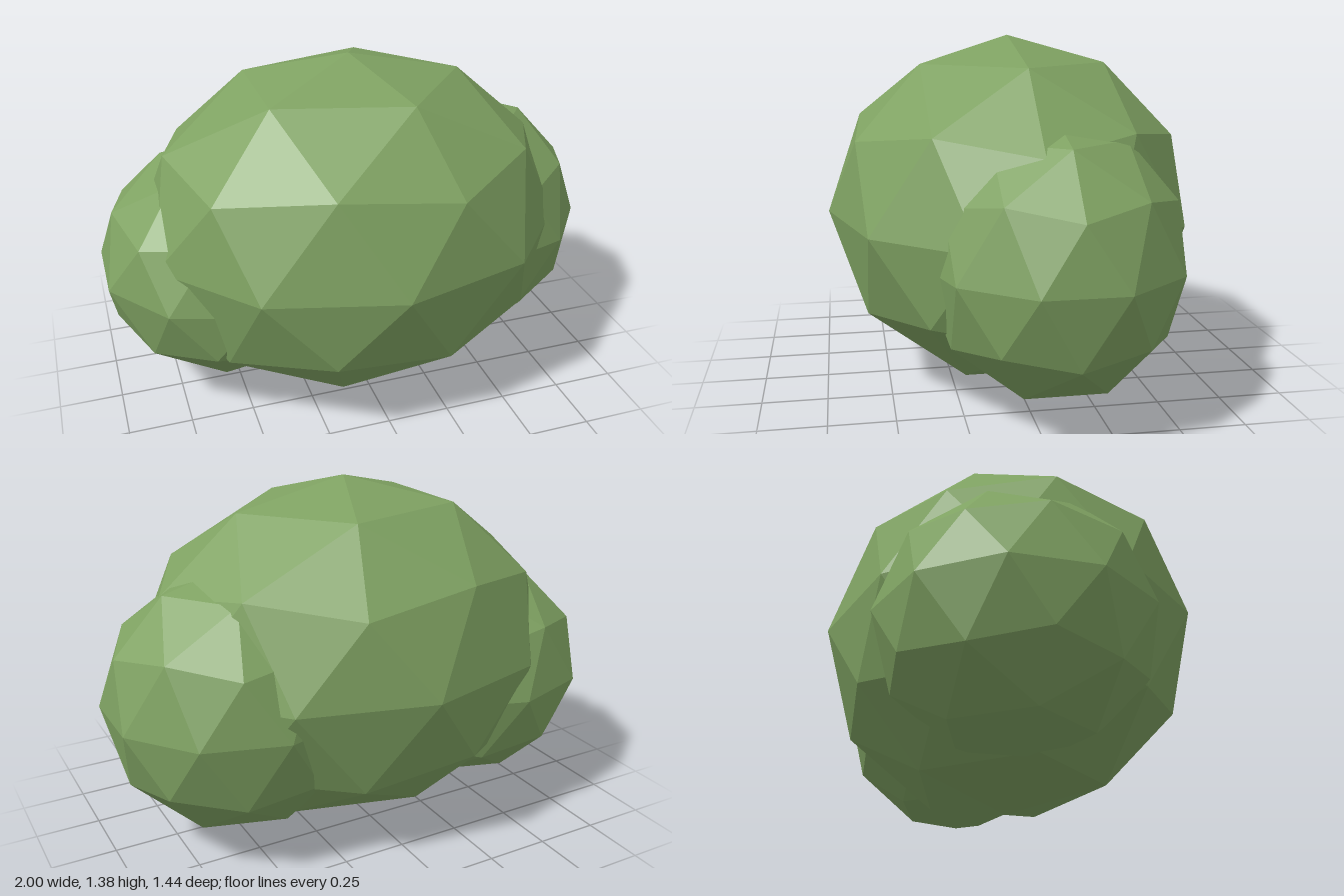
import * as THREE from 'three';

const leaf = new THREE.MeshStandardMaterial({ color: 0x7fa262, flatShading: true, roughness: 1 });

// Faceted ellipsoid with one vertex straight up and one straight down
function clump(name, radii, position) {
  const geometry = new THREE.IcosahedronGeometry(1, 1);
  geometry.rotateZ(-Math.atan2(2, 1 + Math.sqrt(5)));
  geometry.scale(...radii);
  geometry.computeVertexNormals();
  const mesh = new THREE.Mesh(geometry, leaf);
  mesh.name = name;
  mesh.position.set(...position);
  return mesh;
}

export function createModel() {
  const bush = new THREE.Group();
  bush.name = 'bush';
  bush.add(
    // Large middle mass
    clump('mainFoliage', [0.86, 0.69, 0.722], [-0.01, 0.69, 0]),
    // Smaller masses overlapping each side, set slightly back
    clump('leftFoliage', [0.522, 0.52, 0.49], [0.5, 0.59, -0.085]),
    clump('rightFoliage', [0.525, 0.48, 0.52], [-0.5, 0.55, -0.09]),
  );
  return bush;
}
